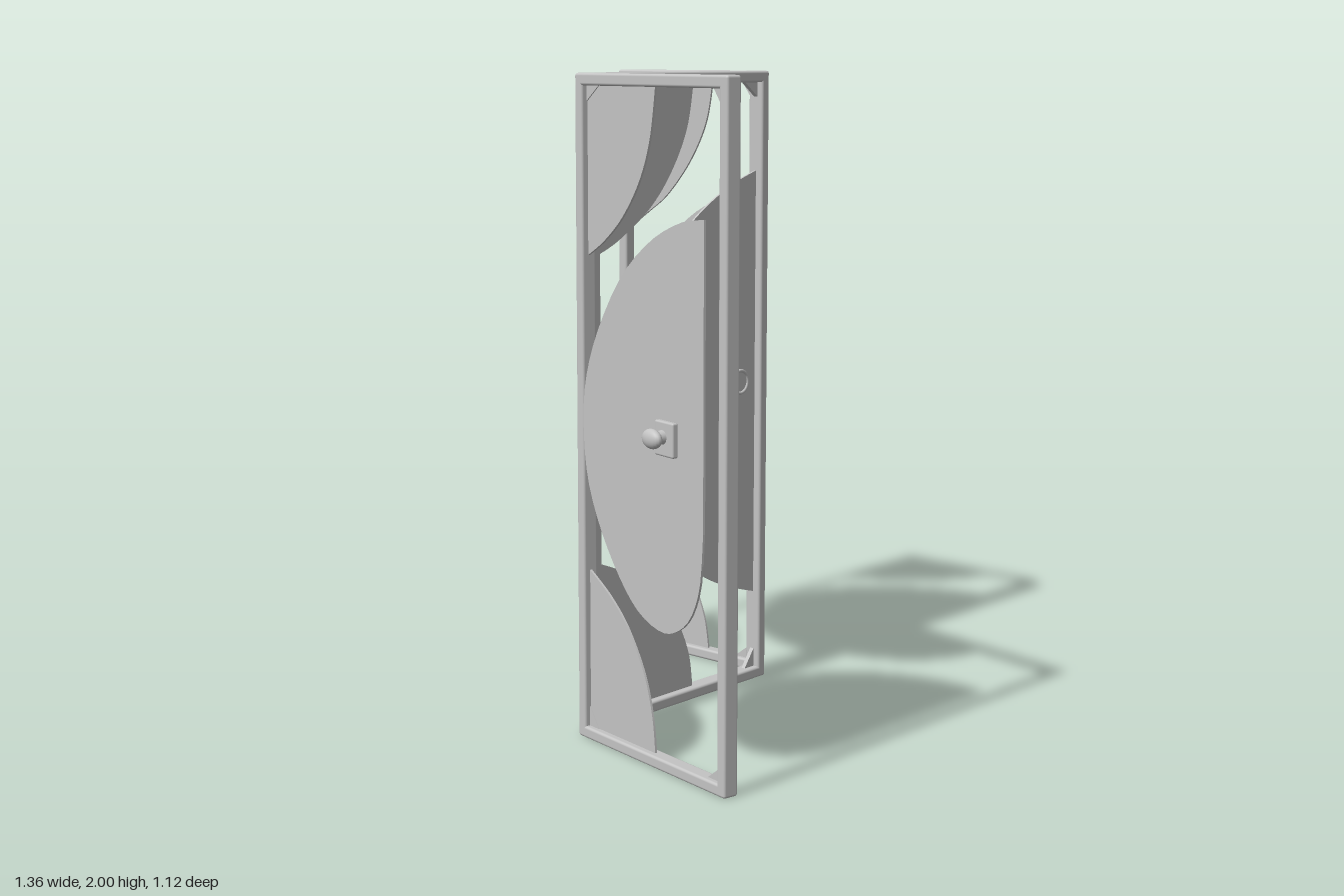
import * as THREE from 'three';
import { RoundedBoxGeometry } from 'three/addons/geometries/RoundedBoxGeometry.js';

const HEIGHT = 2, BAR = 0.036, PLATE = 0.007;

export function createModel() {
  const grey = new THREE.MeshStandardMaterial({ color: 0xc4c4c4 });
  grey.name = 'plain grey';
  const root = new THREE.Group();
  root.name = 'foldingScreen';

  function add(parent, name, geometry, x, y, z) {
    const mesh = new THREE.Mesh(geometry, grey);
    mesh.name = name;
    mesh.position.set(x, y, z);
    parent.add(mesh);
    return mesh;
  }

  // Thin plate bounded by a smooth curve, closed through optional straight corners
  function plate(parent, name, points, corners = []) {
    const curve = new THREE.SplineCurve(points.map(([u, y]) => new THREE.Vector2(u, y)));
    const outline = curve.getPoints(48).concat(corners.map(([u, y]) => new THREE.Vector2(u, y)));
    const geometry = new THREE.ExtrudeGeometry(new THREE.Shape(outline), { depth: PLATE, bevelEnabled: false });
    return add(parent, name, geometry, 0, 0, -PLATE / 2);
  }

  // Rectangular frame whose local x runs along the panel from its hinge edge
  function panel(name, x, z, angle, length, depth) {
    const group = new THREE.Group();
    group.name = name;
    group.position.set(x, 0, z);
    group.rotation.y = angle;
    root.add(group);
    for (const u of [BAR / 2, length - BAR / 2])
      add(group, 'frameUpright', new RoundedBoxGeometry(BAR, HEIGHT, depth, 2, 0.008), u, HEIGHT / 2, 0);
    for (const y of [BAR / 2, HEIGHT - BAR / 2])
      add(group, 'frameRail', new RoundedBoxGeometry(length - 0.02, BAR, depth, 2, 0.008), length / 2, y, 0);

    // Small gussets inside the corners
    const tri = new THREE.Shape([[0, 0], [0.045, 0], [0, 0.06]].map(p => new THREE.Vector2(...p)));
    const gusset = new THREE.ExtrudeGeometry(tri, { depth: 0.014, bevelEnabled: false });
    for (const right of [0, 1]) for (const top of [0, 1]) {
      const g = add(group, 'cornerGusset', gusset, right ? length - BAR : BAR, top ? HEIGHT - BAR : BAR, 0);
      g.rotation.z = right ? (top ? Math.PI : Math.PI / 2) : (top ? -Math.PI / 2 : 0);
      g.position.z = -0.007;
    }
    return group;
  }

  // Back panel
  const back = panel('backPanel', -0.68, -0.538, 0, 0.62, 0.045);
  plate(back, 'upperCornerPlate',
    [[0.03, 1.46], [0.12, 1.52], [0.21, 1.585], [0.31, 1.70], [0.38, 1.83], [0.41, 1.975]], [[0.03, 1.975]]);
  plate(back, 'eggPlate',
    [[0.59, 1.615], [0.48, 1.595], [0.32, 1.52], [0.18, 1.39], [0.08, 1.2], [0.045, 1.0], [0.07, 0.83],
      [0.15, 0.64], [0.27, 0.49], [0.41, 0.40], [0.59, 0.345]]);
  plate(back, 'lowerCornerPlate',
    [[0.03, 0.525], [0.13, 0.46], [0.24, 0.37], [0.33, 0.25], [0.38, 0.14], [0.40, 0.025]], [[0.03, 0.025]]);

  // Middle panel, running from back to front
  const middle = panel('middlePanel', -0.037, -0.51, -Math.PI / 2, 0.82, 0.057);
  plate(middle, 'upperCornerPlate',
    [[0.79, 1.455], [0.68, 1.5], [0.54, 1.59], [0.44, 1.70], [0.37, 1.83], [0.34, 1.975]], [[0.79, 1.975]]);
  plate(middle, 'eggPlate',
    [[0.03, 1.685], [0.16, 1.64], [0.31, 1.56], [0.46, 1.44], [0.58, 1.29], [0.65, 1.13], [0.67, 0.99], [0.65, 0.84],
      [0.57, 0.66], [0.44, 0.50], [0.29, 0.39], [0.16, 0.33], [0.03, 0.29]]);
  plate(middle, 'lowerCornerPlate',
    [[0.79, 0.525], [0.66, 0.47], [0.53, 0.38], [0.42, 0.27], [0.36, 0.15], [0.34, 0.025]], [[0.79, 0.025]]);

  // Round knob through the middle egg plate
  const knob = new THREE.Group();
  knob.name = 'middleKnob';
  knob.position.set(0.12, 1.005, 0);
  middle.add(knob);
  add(knob, 'knobBody', new THREE.CylinderGeometry(0.038, 0.038, 0.052, 24), 0, 0, 0.013).rotation.x = Math.PI / 2;
  add(knob, 'knobRim', new THREE.TorusGeometry(0.037, 0.006, 8, 28), 0, 0, -0.012);

  // Front panel, angled outwards
  const front = panel('frontPanel', -0.026, 0.336, -0.195, 0.715, 0.05);
  plate(front, 'upperCornerPlate',
    [[0.03, 1.468], [0.12, 1.52], [0.21, 1.595], [0.29, 1.70], [0.34, 1.82], [0.367, 1.975]], [[0.03, 1.975]]);
  plate(front, 'lowerCornerPlate',
    [[0.03, 0.525], [0.14, 0.46], [0.23, 0.38], [0.31, 0.26], [0.35, 0.14], [0.365, 0.025]], [[0.03, 0.025]]);

  // Free-standing egg plate in front of the front panel
  const door = new THREE.Group();
  door.name = 'frontEgg';
  door.position.set(0.015, 0, 0.377);
  door.rotation.y = -0.23;
  root.add(door);
  plate(door, 'frontEggPlate',
    [[0.61, 1.615], [0.50, 1.6], [0.355, 1.54], [0.21, 1.43], [0.09, 1.27], [0.022, 1.12], [0.005, 0.98], [0.025, 0.82],
      [0.09, 0.68], [0.19, 0.55], [0.29, 0.465], [0.40, 0.43], [0.48, 0.445], [0.55, 0.50], [0.595, 0.6], [0.61, 0.75]]);

  // Handle on the front egg plate
  add(door, 'handlePlate', new RoundedBoxGeometry(0.09, 0.1, 0.02, 2, 0.006), 0.445, 0.995, 0.012);
  add(door, 'handleStem', new THREE.CylinderGeometry(0.016, 0.022, 0.05, 16), 0.44, 1.0, 0.035).rotation.x = Math.PI / 2;
  add(door, 'handleKnob', new THREE.SphereGeometry(0.03, 20, 14), 0.445, 1.0, 0.06).scale.set(1.4, 0.95, 0.65);

  // Hinges joining neighbouring panels
  for (const [x, z] of [[-0.062, -0.513], [-0.022, 0.312]])
    for (const y of [0.4, 1.0, 1.6])
      add(root, 'hinge', new THREE.CylinderGeometry(0.009, 0.009, 0.12, 12), x, y, z);

  return root;
}
